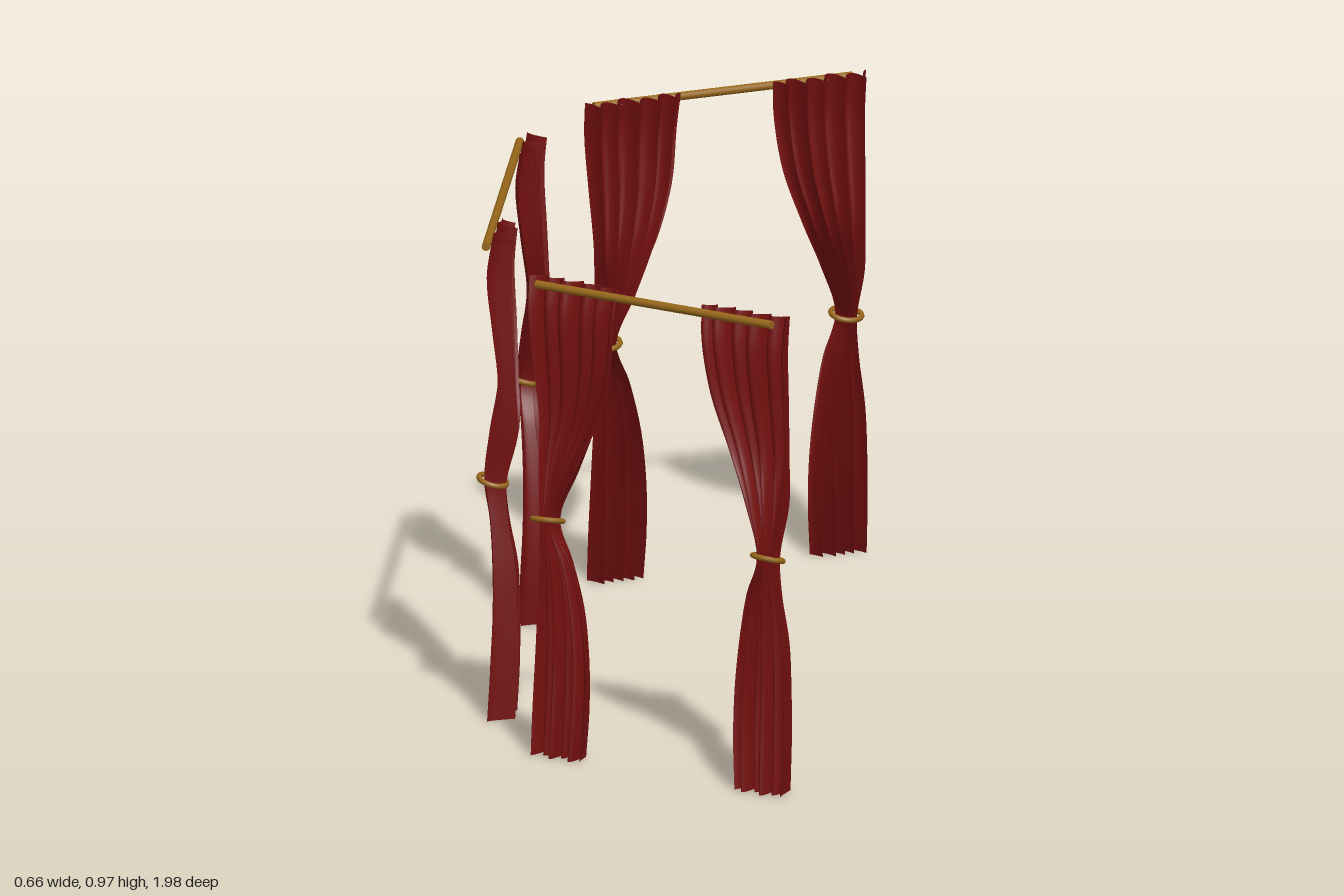
import * as THREE from 'three';

const red = new THREE.MeshStandardMaterial({ color: 0x74100f, side: THREE.DoubleSide });
const gold = new THREE.MeshStandardMaterial({ color: 0x96661a });

// Drape profile: height, inset of outer edge, inset of inner edge, back depth, front depth
const PROFILE = [
  [0.97, 0.0, 0.205, 0.01, 0.055],
  [0.9, 0.002, 0.2, 0.0, 0.05],
  [0.79, 0.006, 0.185, 0.01, 0.055],
  [0.68, 0.012, 0.147, 0.02, 0.06],
  [0.58, 0.02, 0.1, 0.005, 0.065],
  [0.48, 0.03, 0.063, -0.005, 0.042],
  [0.4, 0.024, 0.094, 0.005, 0.045],
  [0.3, 0.015, 0.116, 0.01, 0.062],
  [0.2, 0.01, 0.127, 0.01, 0.065],
  [0.1, 0.008, 0.128, 0.005, 0.065],
  [0.0, 0.008, 0.122, 0.0, 0.06],
];

const edge = (uCol, wCol) =>
  new THREE.CatmullRomCurve3(PROFILE.map((p) => new THREE.Vector3(p[uCol], p[0], p[wCol])));

// Pleated sheet; u runs inward from the outer edge, side mirrors it
function drapeGeometry(side) {
  const cols = 60, rows = 50;
  const outer = edge(1, 3), inner = edge(2, 4);
  const geo = new THREE.PlaneGeometry(1, 1, cols, rows);
  const pos = geo.attributes.position;
  for (let j = 0; j <= rows; j++) {
    const t = j / rows;
    const a = outer.getPoint(t), b = inner.getPoint(t);
    for (let i = 0; i <= cols; i++) {
      const s = i / cols;
      const phase = s * 5 * Math.PI * 2 + 0.5 * Math.sin(s * 7 + t * 3);
      const fold = 0.5 - 0.38 * Math.cos(phase) - 0.12 * Math.cos(phase * 0.43 + 1);
      const sway = 0.15 * Math.sin(phase) / 5; // lets the pleats overlap slightly
      const u = THREE.MathUtils.lerp(a.x, b.x, THREE.MathUtils.clamp(s + sway, 0, 1));
      const w = THREE.MathUtils.lerp(a.z, b.z, fold);
      const y = a.y + (t < 0.5 ? -0.006 * fold * (1 - 2 * t) : 0.004 * fold * (2 * t - 1));
      pos.setXYZ(j * (cols + 1) + i, -side * u, y, w);
    }
  }
  geo.computeVertexNormals();
  return geo;
}

// Oval cord around the gathered waist, higher at the back
function tiebackGeometry(side) {
  const pts = [];
  for (let i = 0; i < 16; i++) {
    const a = (i / 16) * Math.PI * 2;
    const w = 0.012 + 0.027 * Math.sin(a);
    pts.push(new THREE.Vector3(
      -side * (0.043 + 0.031 * Math.cos(a)),
      0.48 - 0.007 * Math.sin(a) + 0.002 * Math.cos(a),
      w
    ));
  }
  return new THREE.TubeGeometry(new THREE.CatmullRomCurve3(pts, true), 40, 0.0055, 8, true);
}

const parts = [-1, 1].map((side) => ({
  side,
  drape: drapeGeometry(side),
  tieback: tiebackGeometry(side),
}));

// Rod with a pair of tied drapes, spanning local x
function curtainSet(name, halfWidth) {
  const set = new THREE.Group();
  set.name = name;
  const rodLength = 2 * (halfWidth - 0.025);
  const rod = new THREE.Mesh(new THREE.CylinderGeometry(0.0085, 0.0085, rodLength, 12), gold);
  rod.name = 'rod';
  rod.rotation.z = Math.PI / 2;
  rod.position.y = 0.957;
  set.add(rod);
  for (const { side, drape, tieback } of parts) {
    const label = side < 0 ? 'left' : 'right';
    const cloth = new THREE.Mesh(drape, red);
    cloth.name = label + 'Drape';
    const cord = new THREE.Mesh(tieback, gold);
    cord.name = label + 'Tieback';
    cloth.position.x = cord.position.x = side * halfWidth;
    set.add(cloth, cord);
  }
  return set;
}

export function createModel() {
  const model = new THREE.Group();
  model.name = 'curtains';
  // Wide middle set and two angled wings, drapes on the inner side
  const layout = [
    ['middleCurtains', 0.437, -0.315, 0, 90],
    ['backCurtains', 0.305, 0.05, -0.835, 30],
    ['frontCurtains', 0.305, 0.05, 0.835, 150],
  ];
  for (const [name, halfWidth, x, z, angle] of layout) {
    const set = curtainSet(name, halfWidth);
    set.position.set(x, 0, z);
    set.rotation.y = THREE.MathUtils.degToRad(angle);
    model.add(set);
  }
  return model;
}
